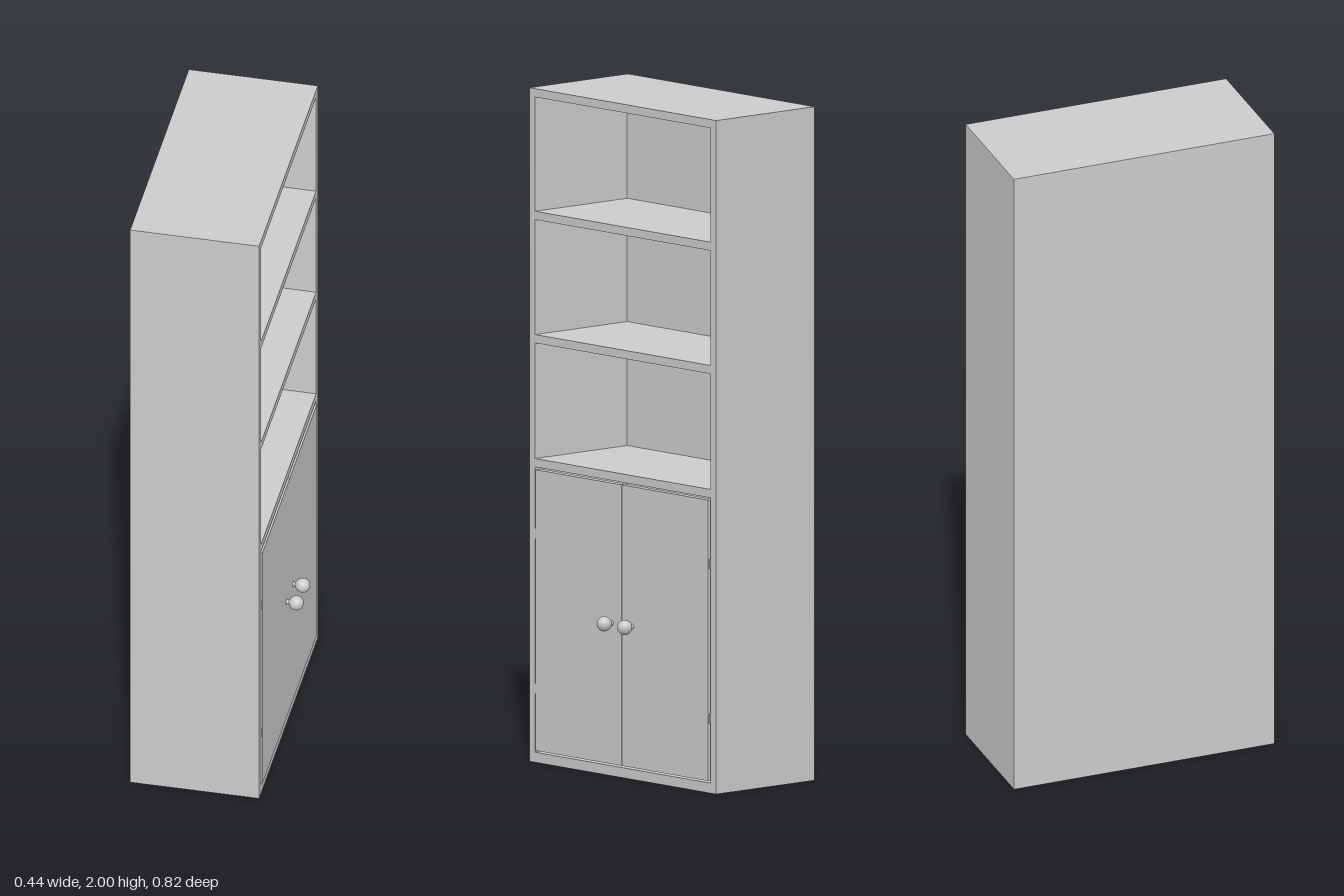
import * as THREE from 'three';

const T = 0.025; // board thickness
const BACK = -0.222, FRONT = 0.165, HALF = 0.41;

export function createModel() {
  const group = new THREE.Group();
  group.name = 'bookcase';
  const material = new THREE.MeshStandardMaterial({ color: 0xcccccc });

  const add = (name, geometry, parent = group) => {
    const mesh = new THREE.Mesh(geometry, material);
    mesh.name = name;
    parent.add(mesh);
    return mesh;
  };

  // Box given by its lower and upper corners
  const board = (name, [x0, y0, z0], [x1, y1, z1], parent) => {
    const mesh = add(name, new THREE.BoxGeometry(x1 - x0, y1 - y0, z1 - z0), parent);
    mesh.position.set((x0 + x1) / 2, (y0 + y1) / 2, (z0 + z1) / 2);
    return mesh;
  };

  // Carcass: sides, top, bottom and back, open toward +x
  const inner = HALF - T;
  board('sidePanelFront', [BACK, 0, inner], [FRONT, 2, HALF]);
  board('sidePanelRear', [BACK, 0, -HALF], [FRONT, 2, -inner]);
  board('topPanel', [BACK, 2 - T, -inner], [FRONT, 2, inner]);
  board('bottomPanel', [BACK, 0, -inner], [FRONT, 0.03, inner]);
  board('backPanel', [BACK, 0.03, -inner], [BACK + T, 2 - T, inner]);

  // Shelves
  for (const y of [0.877, 1.245, 1.611]) {
    board('shelf', [BACK + T, y, -inner], [FRONT, y + T, inner]);
  }

  // Knob with a flared neck, turned about its axis
  const profile = [new THREE.Vector2(0.008, 0), new THREE.Vector2(0.006, 0.006)];
  for (let i = 0; i <= 16; i++) {
    const a = THREE.MathUtils.lerp(-1.25, Math.PI / 2, i / 16);
    profile.push(new THREE.Vector2(Math.max(0, 0.022 * Math.cos(a)), 0.029 + 0.022 * Math.sin(a)));
  }
  const knobGeometry = new THREE.LatheGeometry(profile, 24);
  const hingeGeometry = new THREE.CylinderGeometry(0.003, 0.003, 0.03, 10);

  // Pair of doors, each with a knob and two hinge pins
  for (const s of [-1, 1]) {
    const door = new THREE.Group();
    door.name = s > 0 ? 'frontDoor' : 'rearDoor';
    group.add(door);
    const edges = [s * 0.0015, s * 0.379].sort((a, b) => a - b);
    board('doorPanel', [0.147, 0.036, edges[0]], [0.169, 0.87, edges[1]], door);

    const knob = add('knob', knobGeometry, door);
    knob.rotation.z = -Math.PI / 2;
    knob.position.set(0.169, 0.455, s * 0.045);

    for (const y of [0.22, 0.68]) {
      add('hinge', hingeGeometry, door).position.set(0.164, y, s * 0.382);
    }
  }
  return group;
}
